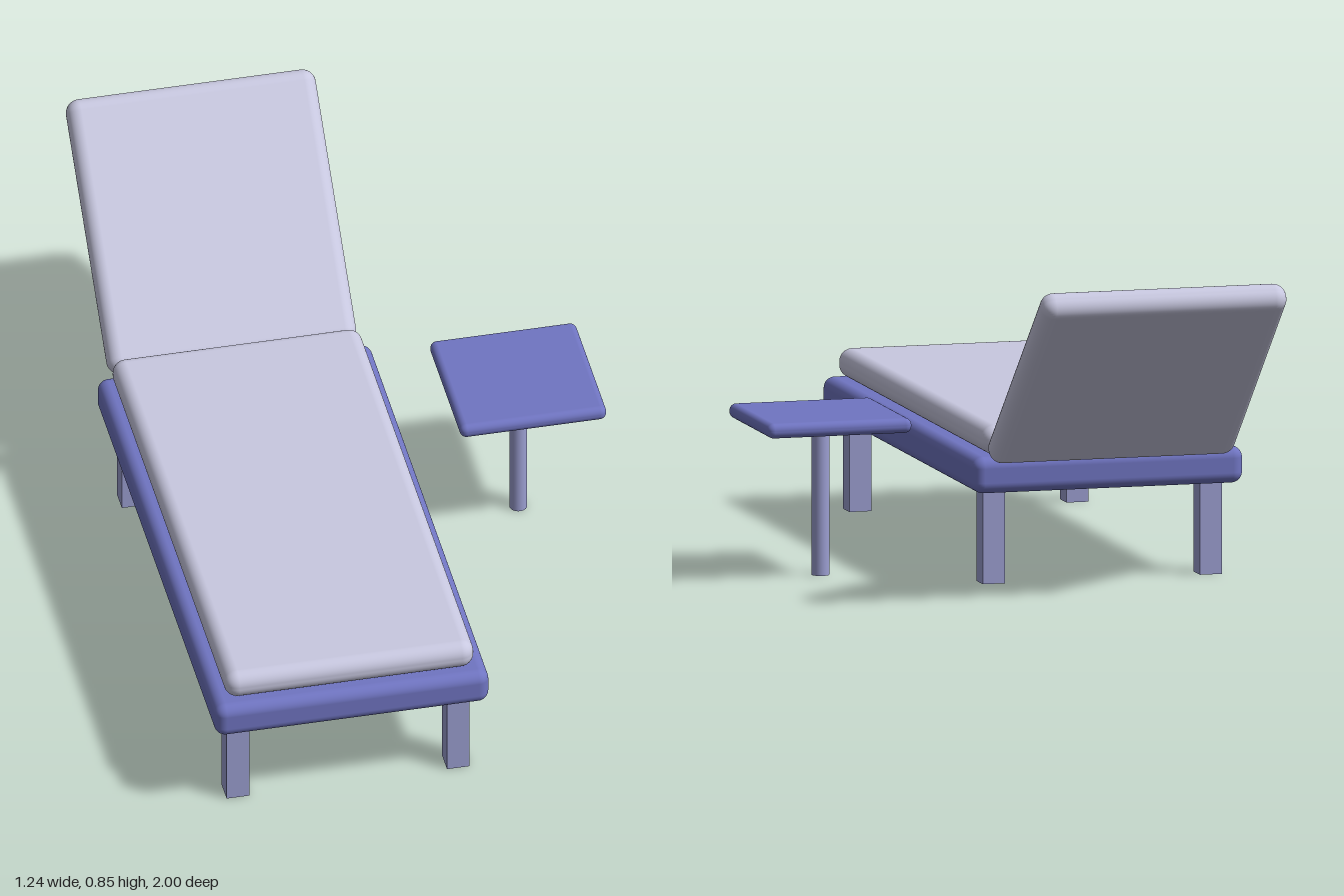
import * as THREE from 'three';
import { RoundedBoxGeometry } from 'three/addons/geometries/RoundedBoxGeometry.js';

function material(name, color) {
  const m = new THREE.MeshStandardMaterial({ color });
  m.name = name;
  return m;
}

export function createModel() {
  const model = new THREE.Group();
  model.name = 'sunLounger';
  const cushion = material('pale lavender cushion', 0xc8c8e0);
  const frameBlue = material('indigo frame', 0x7075c2);
  const legBlue = material('light indigo legs', 0x9c9fd2);

  function add(name, geometry, mat, x, y, z) {
    const mesh = new THREE.Mesh(geometry, mat);
    mesh.name = name;
    mesh.position.set(x, y, z);
    model.add(mesh);
    return mesh;
  }
  const slab = (w, h, d, r) => new RoundedBoxGeometry(w, h, d, 5, r);

  // Bed: frame, mattress and reclined backrest
  const cx = -0.258;
  add('bedFrame', slab(0.726, 0.096, 1.457, 0.029), frameBlue, cx, 0.293, 0.2715);
  add('mattress', slab(0.66, 0.077, 1.408, 0.035), cushion, cx, 0.38, 0.27);
  const back = add('backrest', slab(0.66, 0.076, 0.728, 0.035), cushion, cx, 0.588, -0.72);
  back.rotation.x = THREE.MathUtils.degToRad(42.2);

  // Four square legs
  for (const [end, z] of [['front', 0.906], ['back', -0.359]])
    for (const [side, dx] of [['Right', -0.292], ['Left', 0.292]])
      add(end + side + 'Leg', new THREE.BoxGeometry(0.06, 0.26, 0.06), legBlue, cx + dx, 0.13, z);

  // Side table on a round post
  add('tableTop', slab(0.388, 0.039, 0.388, 0.018), frameBlue, 0.424, 0.41, -0.118);
  add('tablePost', new THREE.CylinderGeometry(0.023, 0.023, 0.4, 24), legBlue, 0.424, 0.2, -0.118);

  return model;
}
